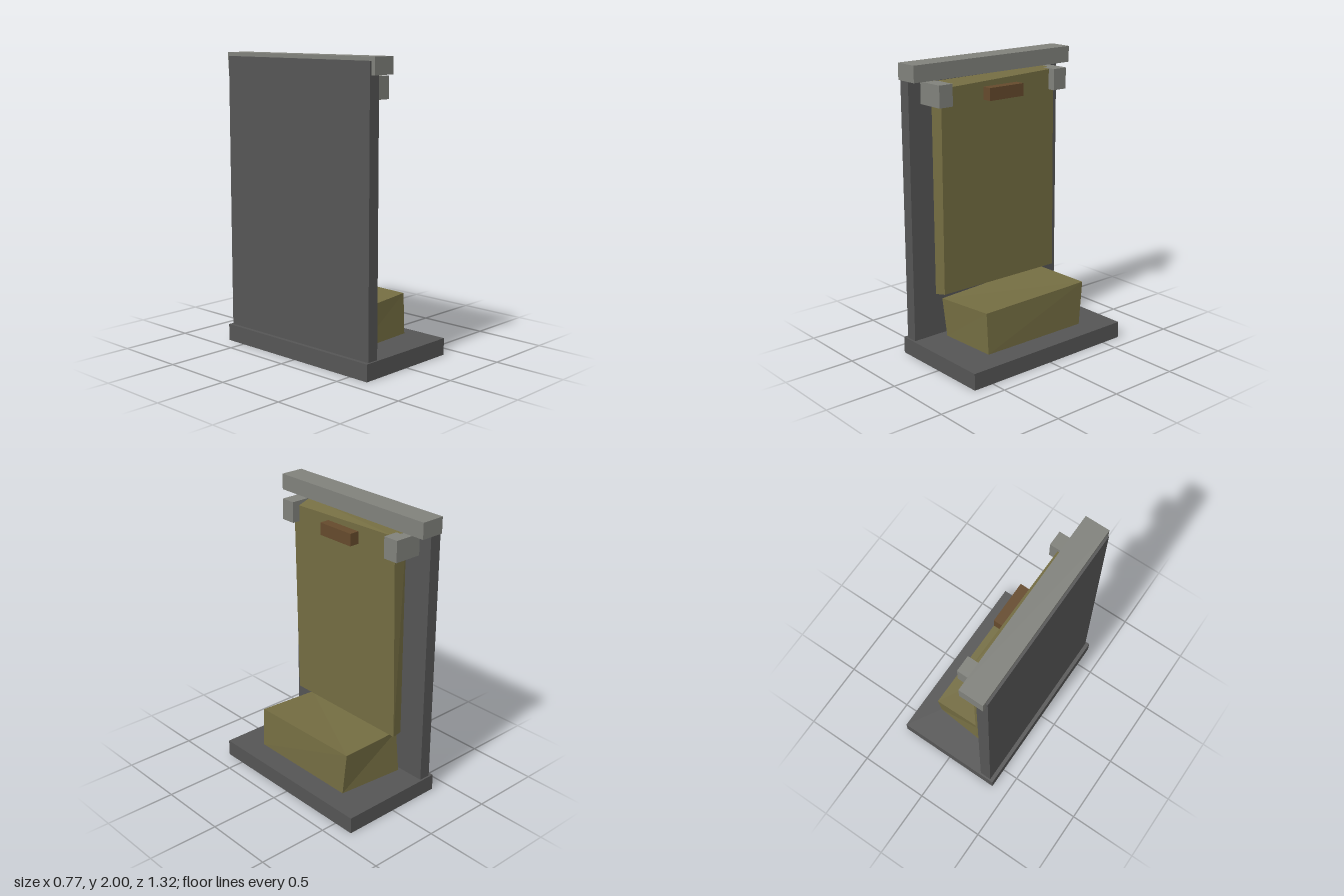
import * as THREE from 'three';

const material = (name, color) => {
  const m = new THREE.MeshStandardMaterial({ color });
  m.name = name;
  return m;
};

export function createModel() {
  const model = new THREE.Group();
  const darkGrey = material('dark grey', 0x555555);
  const lightGrey = material('light grey', 0x80817b);
  const olive = material('olive', 0x746d42);
  const brown = material('brown', 0x654a2c);

  const add = (name, geometry, mat) => {
    const mesh = new THREE.Mesh(geometry, mat);
    mesh.name = name;
    model.add(mesh);
    return mesh;
  };

  // Straight block given by its limits on each axis
  const block = (name, mat, [x0, x1], [y0, y1], [z0, z1]) =>
    add(name, new THREE.BoxGeometry(x1 - x0, y1 - y0, z1 - z0), mat)
      .position.set((x0 + x1) / 2, (y0 + y1) / 2, (z0 + z1) / 2);

  // Slightly crooked block: a unit box with each corner moved to its own place.
  // Corner order counts x fastest, then y, then z, from low to high.
  const crookedBlock = (name, mat, corners) => {
    const geometry = new THREE.BoxGeometry(1, 1, 1).toNonIndexed();
    const p = geometry.attributes.position;
    for (let i = 0; i < p.count; i++) {
      const corner = (p.getX(i) > 0 ? 1 : 0) + (p.getY(i) > 0 ? 2 : 0) + (p.getZ(i) > 0 ? 4 : 0);
      p.setXYZ(i, ...corners[corner]);
    }
    geometry.computeVertexNormals();
    add(name, geometry, mat);
  };

  // Frame
  block('base', darkGrey, [-0.385, 0.385], [0, 0.115], [-0.648, 0.648]);
  block('backPanel', darkGrey, [-0.358, -0.275], [0.115, 1.975], [-0.635, 0.635]);
  block('topRail', lightGrey, [-0.343, -0.175], [1.89, 2], [-0.66, 0.66]);

  // Brackets on both sides of the back cushion
  block('leftBracket', lightGrey, [-0.275, -0.075], [1.73, 1.875], [0.435, 0.54]);
  block('rightBracket', lightGrey, [-0.275, -0.075], [1.73, 1.875], [-0.54, -0.43]);

  // Pull block near the top of the cushion
  block('handle', brown, [-0.14, -0.06], [1.73, 1.815], [-0.143, 0.143]);

  // Cushions
  crookedBlock('backCushion', olive, [
    [-0.225, 0.445, -0.48], [-0.145, 0.445, -0.495],
    [-0.232, 1.88, -0.465], [-0.127, 1.87, -0.47],
    [-0.225, 0.435, 0.49], [-0.148, 0.447, 0.473],
    [-0.232, 1.875, 0.487], [-0.13, 1.84, 0.485],
  ]);
  crookedBlock('seatCushion', olive, [
    [-0.25, 0.116, -0.447], [0.235, 0.12, -0.405],
    [-0.235, 0.425, -0.43], [0.23, 0.425, -0.437],
    [-0.2, 0.12, 0.42], [0.245, 0.132, 0.42],
    [-0.235, 0.385, 0.43], [0.23, 0.415, 0.422],
  ]);

  return model;
}
